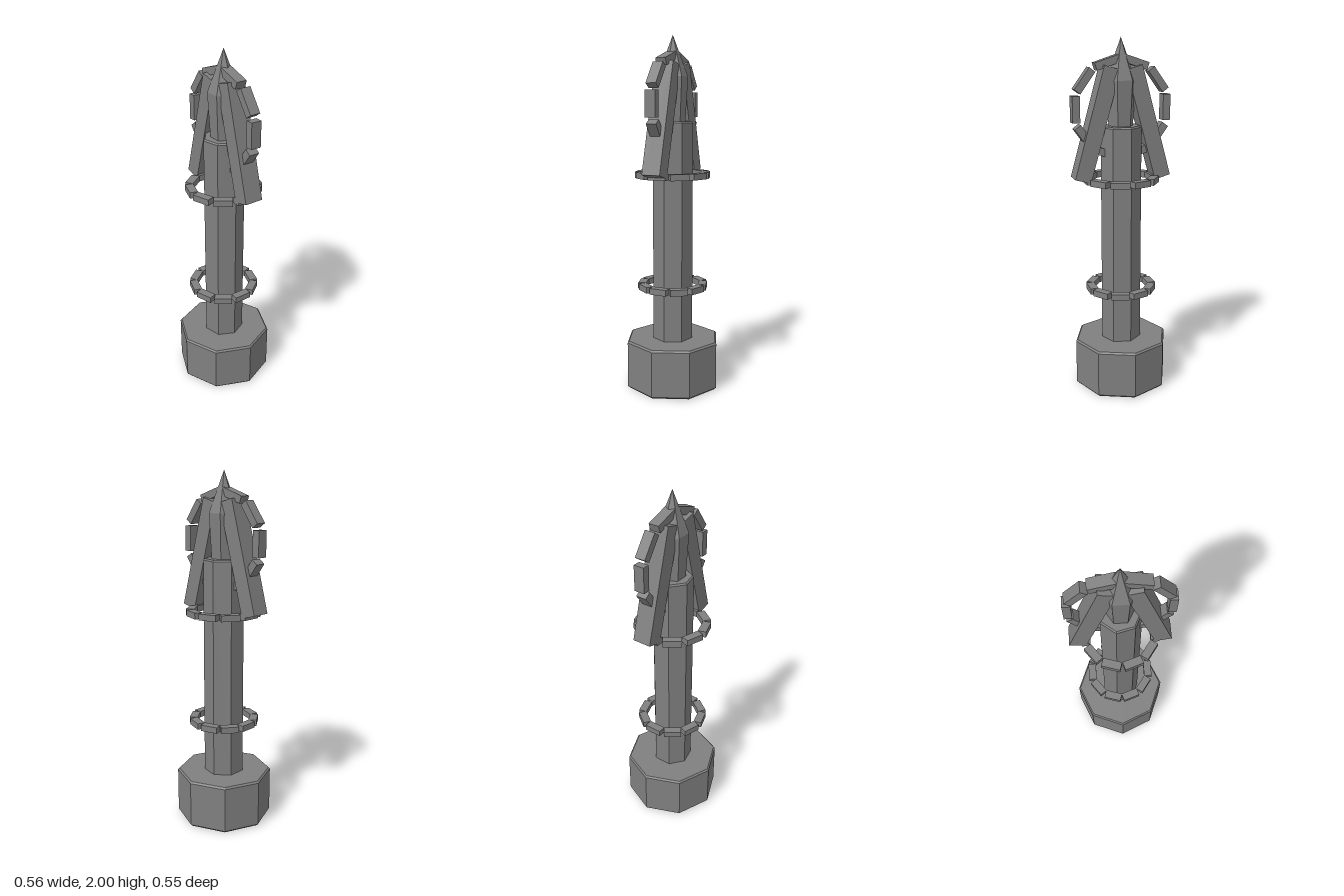
import * as THREE from 'three';

const grey = new THREE.MeshStandardMaterial({ color: 0x808080, flatShading: true });
grey.name = 'stone grey';

// Faceted solid from an ascending profile of [radius, height], one corner on +x
function faceted(name, sides, profile) {
  const points = profile.map(([r, y]) => new THREE.Vector2(r, y));
  const mesh = new THREE.Mesh(new THREE.LatheGeometry(points, sides, Math.PI / 2), grey);
  mesh.name = name;
  return mesh;
}

// Ring of ten separate blocks, lying in the XY plane
function linkRing(name, radius, thickness, length, depth) {
  const ring = new THREE.Group();
  ring.name = name;
  const geometry = new THREE.BoxGeometry(thickness, length, depth);
  for (let i = 0; i < 10; i++) {
    const a = (i / 10) * Math.PI * 2;
    const link = new THREE.Mesh(geometry, grey);
    link.name = name + 'Link';
    link.position.set(radius * Math.cos(a), radius * Math.sin(a), 0);
    link.rotation.z = a;
    ring.add(link);
  }
  return ring;
}

export function createModel() {
  const model = new THREE.Group();
  model.name = 'spireTower';

  // Octagonal base and seven-sided shaft with small bevels
  model.add(faceted('base', 8, [[0, 0], [0.266, 0], [0.275, 0.01], [0.275, 0.27], [0.266, 0.28], [0, 0.28]]));
  model.add(faceted('shaft', 7, [[0, 0.27], [0.115, 0.27], [0.115, 1.522], [0.107, 1.53], [0, 1.53]]));

  // Six-sided spire, flaring up to a pointed cap
  model.add(faceted('spire', 6, [[0, 1.52], [0.07, 1.52], [0.085, 1.775], [0, 2]]));

  // Leaning slabs on both sides
  for (const side of [-1, 1]) {
    const slab = new THREE.Mesh(new THREE.BoxGeometry(0.092, 0.629, 0.107), grey);
    slab.name = side > 0 ? 'leftSlab' : 'rightSlab';
    slab.position.set(side * 0.146, 1.541, 0);
    slab.rotation.z = side * 0.27;
    model.add(slab);
  }

  // Upright ring around the spire
  const halo = linkRing('uprightRing', 0.257, 0.042, 0.142, 0.06);
  halo.position.y = 1.625;
  model.add(halo);

  // Level rings around the shaft
  for (const [name, radius, y, length] of [['upperRing', 0.184, 1.233, 0.104], ['lowerRing', 0.172, 0.592, 0.1]]) {
    const ring = linkRing(name, radius, 0.046, length, 0.035);
    ring.rotation.x = Math.PI / 2;
    ring.position.y = y;
    model.add(ring);
  }
  return model;
}
